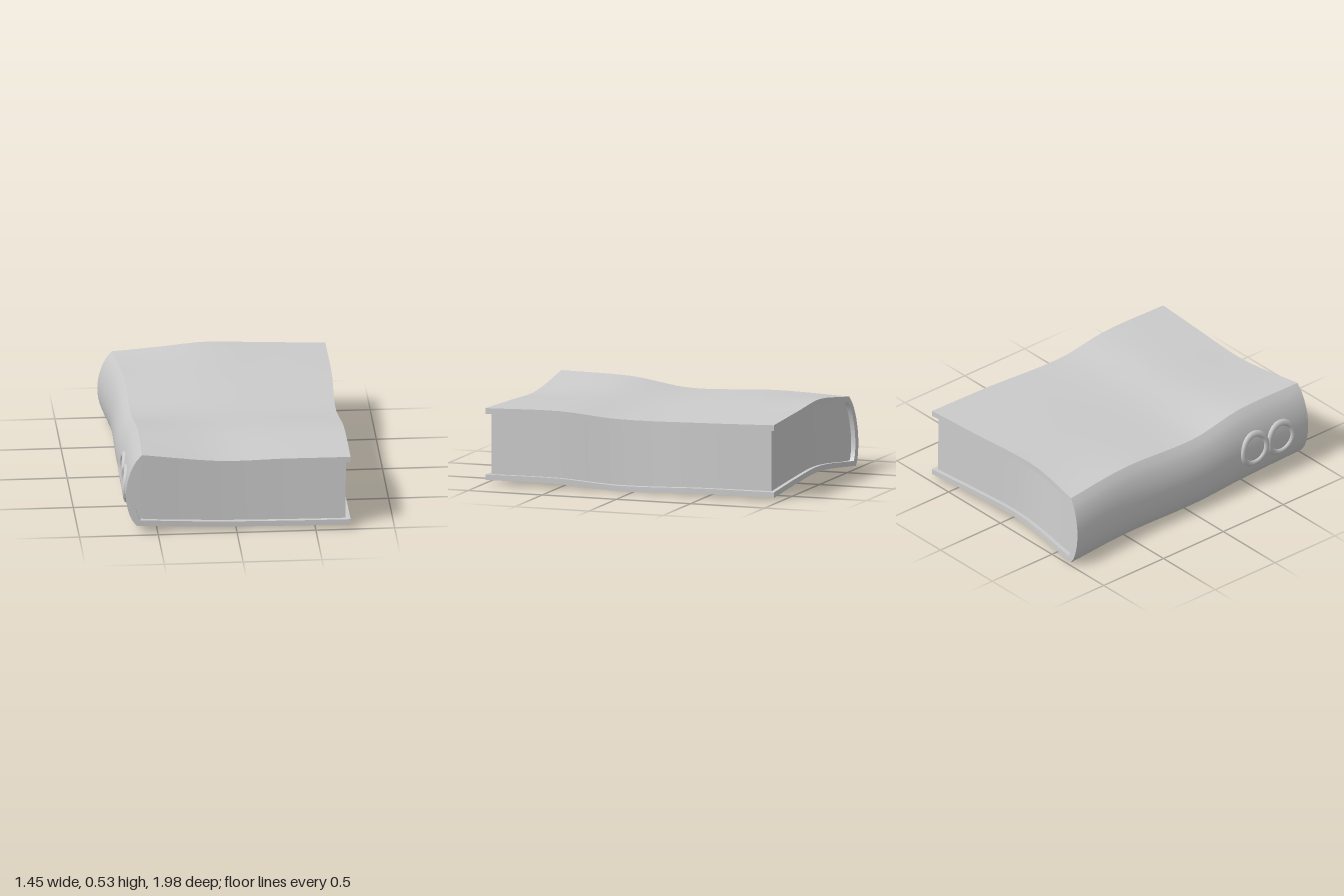
import * as THREE from 'three';
import { mergeGeometries, toCreasedNormals } from 'three/addons/utils/BufferGeometryUtils.js';

const lerp = THREE.MathUtils.lerp;

// Smooth curve through values at uneven knots
function curve(k, v, t) {
  let i = 0;
  while (i < k.length - 2 && t > k[i + 1]) i++;
  const slope = (j) => {
    const a = Math.max(j - 1, 0), b = Math.min(j + 1, k.length - 1);
    return (v[b] - v[a]) / (k[b] - k[a]);
  };
  const h = k[i + 1] - k[i], p = (t - k[i]) / h, q = 1 - p;
  return v[i] * q * q * (1 + 2 * p) + v[i + 1] * p * p * (3 - 2 * p)
    + h * p * q * (slope(i) * q - slope(i + 1) * p);
}

// Wavy heights: rows run from spine to fore edge, values from back to front
const S = [-1, -0.5, 0.1, 0.5, 1];
const F = [0, 0.38, 0.68, 1];
const TOP = [
  [0.468, 0.488, 0.47, 0.525, 0.535],
  [0.522, 0.502, 0.474, 0.492, 0.475],
  [0.507, 0.49, 0.47, 0.495, 0.483],
  [0.487, 0.475, 0.465, 0.497, 0.49],
];
const BOTTOM = [
  [0.02, 0.015, 0.01, 0.03, 0.055],
  [0.065, 0.04, 0.028, 0.03, 0.028],
  [0.05, 0.03, 0.022, 0.028, 0.025],
  [0.022, 0.02, 0.003, 0.03, 0.03],
];
const height = (rows, f, s) => curve(F, rows.map((r) => curve(S, r, s)), f);
const foreEdgeX = (s) => curve(S, [0.712, 0.715, 0.695, 0.717, 0.722], s);
const topCreaseX = (s) => curve(S, [-0.64, -0.605, -0.605, -0.592, -0.6], s);
const bottomCreaseX = (s) => curve(S, [-0.675, -0.63, -0.63, -0.625, -0.635], s);

// Slightly curved front and back ends
function endZ(x, y, s) {
  if (s > 0) return s * curve([-0.7, 0, 0.72], [0.967, 0.955, 0.985], x);
  const k = [-0.72, -0.3, 0, 0.72];
  const low = curve(k, [1, 0.965, 0.95, 0.957], x);
  const high = curve(k, [0.972, 0.928, 0.945, 0.955], x);
  return s * lerp(low, high, Math.min(1, y / 0.47));
}

// Rounded spine: t runs from top crease to bottom crease, d from outside to inside
function spine(t, s, d) {
  const bulge = lerp(curve(S, [0.073, 0.075, 0.082, 0.083, 0.083], s), 0.05, d);
  const x = lerp(topCreaseX(s) + 0.015 * d, bottomCreaseX(s) + 0.025 * d, t)
    - bulge * Math.pow(Math.max(0, 4 * t * (1 - t)), 0.8);
  return [x, lerp(height(TOP, 0, s) - 0.037 * d, height(BOTTOM, 0, s) + 0.035 * d, t)];
}

// Cover section: u 0-1 top board, 1-2 spine, 2-3 bottom board
function cover(u, s, d) {
  let x, y;
  if (u <= 1) {
    x = lerp(foreEdgeX(s), topCreaseX(s) + 0.015 * d, u);
    y = height(TOP, 1 - u, s) - 0.037 * d;
  } else if (u < 2) {
    [x, y] = spine(u - 1, s, d);
  } else {
    x = lerp(bottomCreaseX(s) + 0.025 * d, foreEdgeX(s), u - 2);
    y = height(BOTTOM, u - 2, s) + 0.035 * d;
  }
  return new THREE.Vector3(x, y, endZ(x, y, s));
}

// Grid of quads from a point function of (0..1, 0..1)
function patch(nu, nv, fn, flip = false) {
  const pos = [], idx = [];
  for (let j = 0; j <= nv; j++)
    for (let i = 0; i <= nu; i++) pos.push(...fn(i / nu, j / nv).toArray());
  for (let j = 0; j < nv; j++)
    for (let i = 0; i < nu; i++) {
      const a = j * (nu + 1) + i, b = a + 1, c = a + nu + 1, e = c + 1;
      if (flip) idx.push(a, c, b, b, c, e);
      else idx.push(a, b, c, b, e, c);
    }
  const g = new THREE.BufferGeometry();
  g.setAttribute('position', new THREE.Float32BufferAttribute(pos, 3));
  g.setIndex(idx);
  return g;
}

export function createModel() {
  const group = new THREE.Group();
  const material = new THREE.MeshStandardMaterial({ color: 0xcccccc });
  const add = (name, parts) => {
    const mesh = new THREE.Mesh(toCreasedNormals(mergeGeometries(parts), 0.5), material);
    mesh.name = name;
    group.add(mesh);
  };
  const NU = 36, NV = 24;
  const along = (v) => 2 * v - 1;

  // Cover: outer and inner skins, front and back rims, fore-edge rims
  add('cover', [
    patch(NU, NV, (u, v) => cover(3 * u, along(v), 0)),
    patch(NU, NV, (u, v) => cover(3 * u, along(v), 1), true),
    patch(NU, 1, (u, v) => cover(3 * u, 1, v)),
    patch(NU, 1, (u, v) => cover(3 * u, -1, v), true),
    patch(NV, 1, (u, v) => cover(0, along(u), v)),
    patch(NV, 1, (u, v) => cover(3, along(u), v), true),
  ]);

  // Page block, set back from the cover on its three open sides
  const inset = 0.022, reach = 0.972;
  const page = (u, s) => cover(lerp(inset, 3 - inset, u), s * reach, 1);
  const span = (u, v, s) => page(u / 2, s).lerp(page(1 - u / 2, s), v);
  add('pages', [
    patch(NU, NV, (u, v) => page(u, along(v))),
    patch(NU / 2, 4, (u, v) => span(u, v, 1)),
    patch(NU / 2, 4, (u, v) => span(u, v, -1), true),
    patch(NV, 4, (u, v) => span(0, v, along(u))),
  ]);

  // Two raised rings wrapped onto the spine
  [0.53, 0.745].forEach((zc, i) => {
    const g = new THREE.TorusGeometry(0.097, 0.02, 8, 32);
    const p = g.attributes.position;
    for (let n = 0; n < p.count; n++) {
      const y = 0.26 + p.getY(n) * 1.08, z = zc + p.getX(n), s = z / 0.967;
      const top = height(TOP, 0, s), t = (top - y) / (top - height(BOTTOM, 0, s));
      p.setXYZ(n, spine(t, s, 0)[0] - p.getZ(n) * 0.8, y, z);
    }
    g.computeVertexNormals();
    const ring = new THREE.Mesh(toCreasedNormals(g, 1.2), material);
    ring.name = i ? 'spineRingFront' : 'spineRingBack';
    group.add(ring);
  });

  return group;
}
